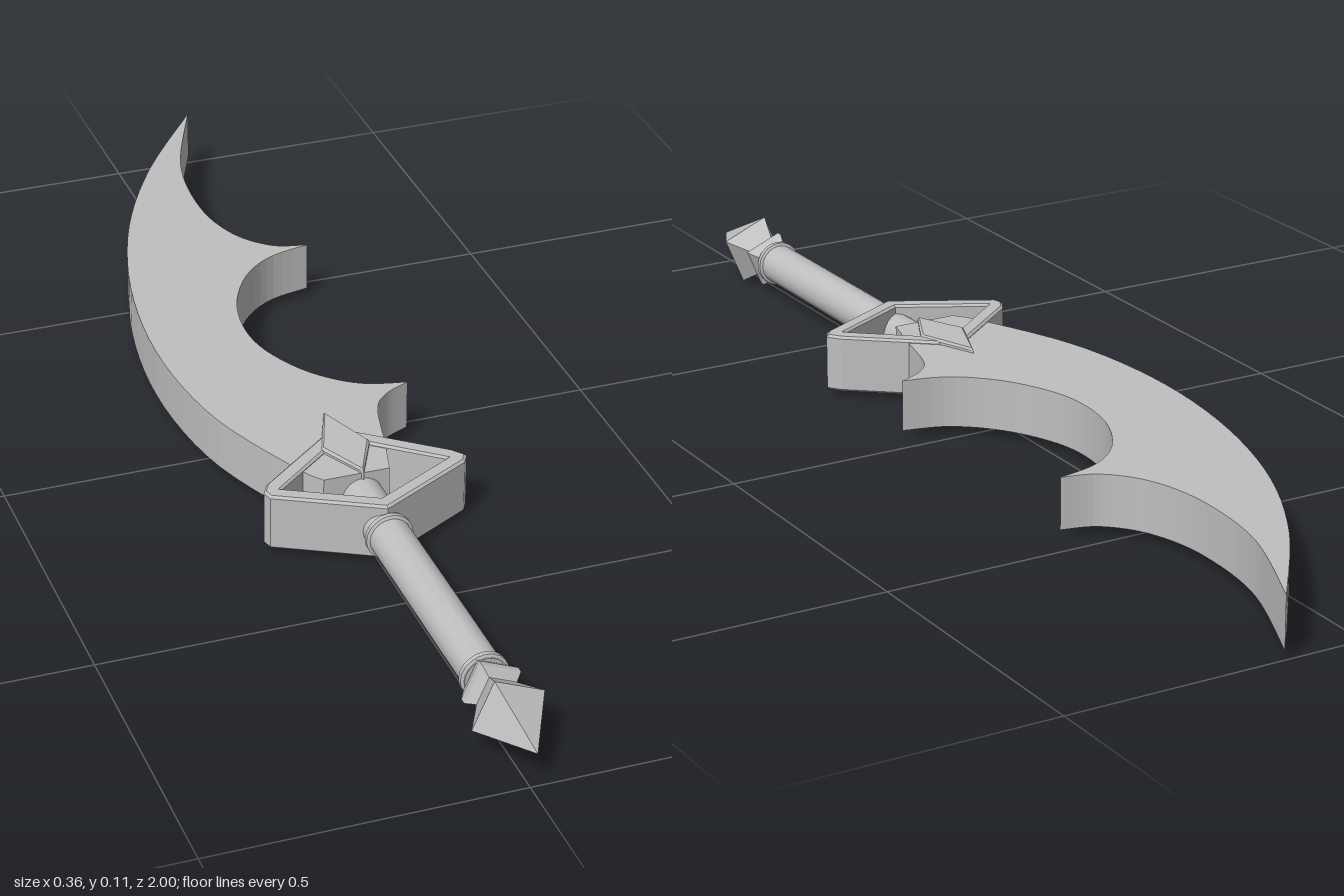
import * as THREE from 'three';
import { toCreasedNormals } from 'three/addons/utils/BufferGeometryUtils.js';

const CX = 0.01, CY = 0.058; // axis of the hilt

export function createModel() {
  const group = new THREE.Group();
  const steel = new THREE.MeshStandardMaterial({ color: 0xbfbfbf });
  steel.name = 'steel grey';

  const add = (name, geometry) => {
    const mesh = new THREE.Mesh(geometry, steel);
    mesh.name = name;
    group.add(mesh);
  };
  // Points are [x, z] in plan; shapes are drawn with y = -z and laid flat
  const flat = (pts) => pts.map(([x, z]) => new THREE.Vector2(x, -z));
  const slab = (shape, y0, y1, bevel = 0) => {
    const g = new THREE.ExtrudeGeometry(shape, {
      depth: y1 - y0 - 2 * bevel, bevelEnabled: bevel > 0,
      bevelThickness: bevel, bevelSize: bevel, bevelOffset: -bevel, bevelSegments: 1,
    });
    return g.rotateX(-Math.PI / 2).translate(0, y0 + bevel, 0);
  };
  // Turned parts along z, profile as [radius, z]
  const turned = (profile, sides, phi, crease) => {
    const g = new THREE.LatheGeometry(profile.map(([r, z]) => new THREE.Vector2(r, z)), sides, phi);
    return toCreasedNormals(g.rotateX(Math.PI / 2).translate(CX, CY, 0), crease);
  };

  // Curved blade with two hooked barbs: one smooth curve per edge
  const edges = [
    [[0.135, -1], [0.0, -0.81], [-0.1, -0.61], [-0.162, -0.39], [-0.182, -0.17], [-0.157, 0.04], [-0.085, 0.225], [-0.055, 0.275]],
    [[0.055, 0.275], [0.075, 0.2], [0.1, 0.1], [0.13, 0.06], [0.175, 0.037]],
    [[0.175, 0.037], [0.1, 0.015], [0.035, -0.045], [-0.008, -0.13], [-0.02, -0.21], [-0.005, -0.3], [0.04, -0.385], [0.1, -0.435], [0.175, -0.455]],
    [[0.175, -0.455], [0.115, -0.475], [0.065, -0.54], [0.043, -0.65], [0.06, -0.81], [0.135, -1]],
  ];
  const outline = edges.flatMap((e) => new THREE.SplineCurve(flat(e)).getPoints(36).slice(0, -1));
  // The root edge keeps its end point, so the butt is straight
  outline.splice(36, 0, ...flat([[-0.055, 0.275]]));
  add('blade', slab(new THREE.Shape(outline), 0.016, 0.102));

  // Open diamond guard around the blade root
  const guard = new THREE.Shape(flat([
    [CX, 0.388], [0.172, 0.3], [0.182, 0.283], [0.166, 0.262], [CX, 0.135],
    [-0.146, 0.262], [-0.157, 0.283], [-0.152, 0.3],
  ]));
  guard.holes.push(new THREE.Path(flat([[CX, 0.357], [-0.128, 0.283], [CX, 0.17], [0.148, 0.283]])));
  add('guard', slab(guard, 0.01, 0.107, 0.004));

  // Long diamond boss where the guard meets the blade
  const boss = new THREE.Shape(flat([[CX, 0.28], [CX + 0.041, 0.195], [CX, 0.092], [CX - 0.041, 0.195]]));
  add('boss', slab(boss, 0.007, 0.11, 0.004));

  // Grip with a collar at each end
  add('grip', turned([[0, 0.26], [0.034, 0.26], [0.034, 0.8], [0, 0.8]], 20, 0, 0.6));
  for (const z of [0.395, 0.792]) {
    add('collar', turned([
      [0.03, z - 0.008], [0.039, z - 0.004], [0.039, z + 0.004], [0.03, z + 0.008],
    ], 20, 0, 0.6));
  }

  // Four-sided pommel: bead, neck and long point
  add('pommel', turned([
    [0, 0.797], [0.036, 0.797], [0.048, 0.815], [0.048, 0.826], [0.034, 0.842], [0.061, 0.887], [0, 1],
  ], 4, THREE.MathUtils.degToRad(22), 0.1));

  return group;
}
